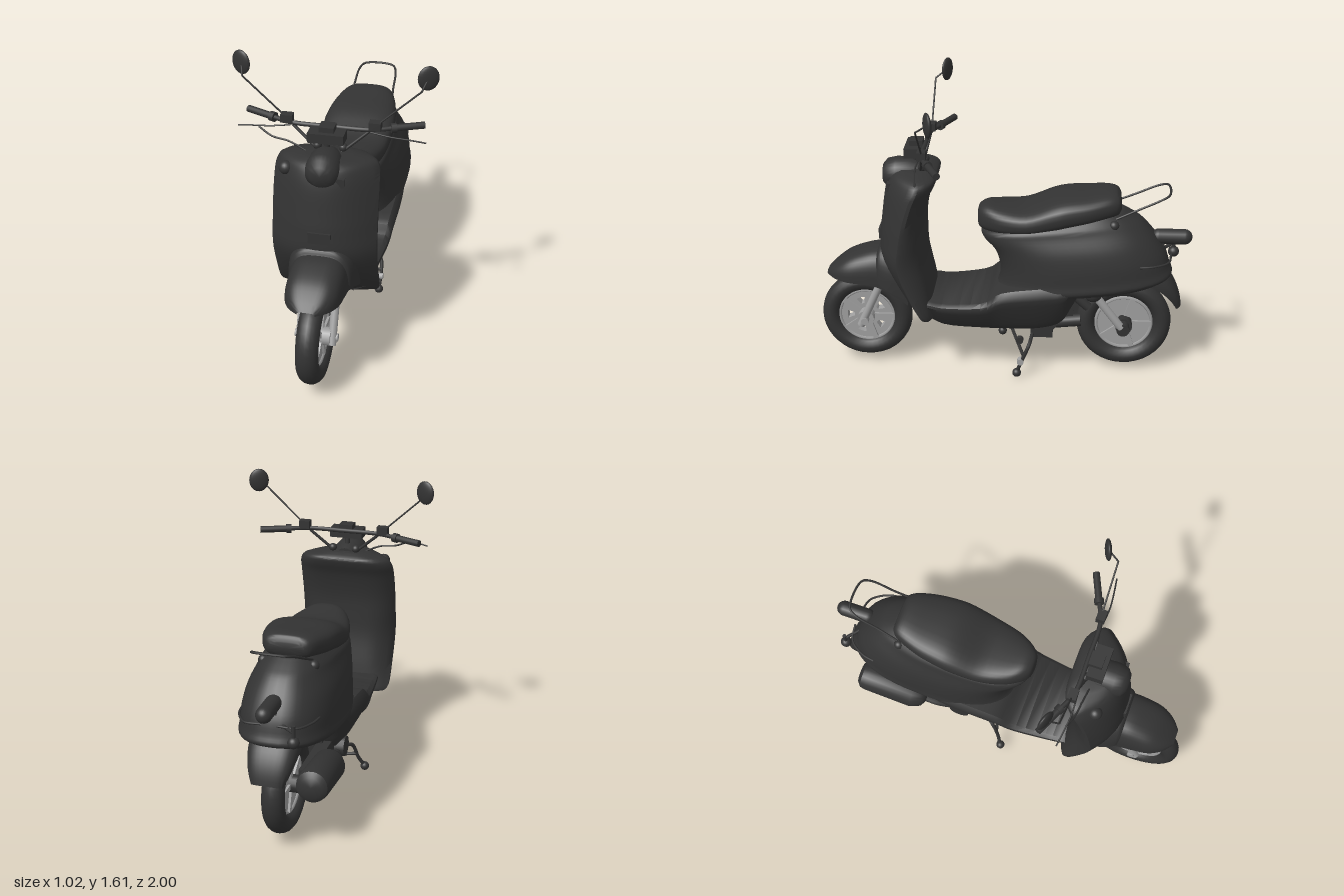
import * as THREE from 'three';
import { toCreasedNormals } from 'three/addons/utils/BufferGeometryUtils.js';

const V = (x, y, z) => new THREE.Vector3(x, y, z);
const spow = (v, e) => Math.sign(v) * Math.pow(Math.abs(v), e);

// Resample a table of section values with a smooth spline down each column
function smooth(rows, count) {
  const curves = rows[0].map((_, k) => new THREE.SplineCurve(rows.map((r, i) => new THREE.Vector2(i, r[k]))));
  return Array.from({ length: count + 1 }, (_, i) => curves.map(c => c.getPoint(i / count).y));
}

// Skin a list of rings; closed solids get end caps and outward faces
function loft(rings, closed = true, crease = 0.7) {
  const n = rings[0].length, pts = rings.flat(), idx = [];
  for (let i = 0; i < rings.length - 1; i++)
    for (let j = 0; j < (closed ? n : n - 1); j++) {
      const a = i * n + j, b = i * n + (j + 1) % n;
      idx.push(a, b, b + n, a, b + n, a + n);
    }
  if (closed) for (const r of [0, rings.length - 1]) {
    const c = pts.length;
    pts.push(rings[r].reduce((s, p) => s.add(p), V(0, 0, 0)).divideScalar(n));
    for (let j = 0; j < n; j++) {
      const a = r * n + j, b = r * n + (j + 1) % n;
      if (r) idx.push(c, a, b);
      else idx.push(c, b, a);
    }
  }
  let volume = 0;
  for (let i = 0; i < idx.length; i += 3) volume += pts[idx[i]].dot(pts[idx[i + 1]].clone().cross(pts[idx[i + 2]]));
  if (closed && volume < 0) idx.reverse();
  const g = new THREE.BufferGeometry().setFromPoints(pts);
  g.setIndex(idx);
  return toCreasedNormals(g, crease);
}

// Rounded ring of directions, squarer as n grows
const oval = (count, n, fn) => Array.from({ length: count }, (_, i) => {
  const a = i / count * Math.PI * 2;
  return fn(spow(Math.cos(a), 2 / n), spow(Math.sin(a), 2 / n));
});

export function createModel() {
  const model = new THREE.Group();
  const mat = (name, color, side = THREE.FrontSide) => Object.assign(new THREE.MeshStandardMaterial({ color, side }), { name });
  const dark = mat('charcoal', 0x333333, THREE.DoubleSide), grey = mat('lightGrey', 0xa0a0a0);
  const add = (name, geo, m = dark, x = 0, y = 0, z = 0) => {
    const mesh = new THREE.Mesh(geo, m);
    mesh.name = name;
    mesh.position.set(x, y, z);
    model.add(mesh);
    return mesh;
  };
  const tube = (name, pts, r) =>
    add(name, new THREE.TubeGeometry(new THREE.CatmullRomCurve3(pts.map(p => V(...p)), false, 'centripetal'), pts.length * 6, r, 8));
  const rod = (name, a, b, r, m = dark) => {
    const p = V(...a), q = V(...b), d = q.clone().sub(p);
    const mesh = add(name, new THREE.CylinderGeometry(r, r, d.length(), 14), m);
    mesh.position.copy(p.add(q).multiplyScalar(0.5));
    mesh.quaternion.setFromUnitVectors(V(0, 1, 0), d.normalize());
  };
  const ball = (name, r, x, y, z) => add(name, new THREE.SphereGeometry(r, 20, 14), dark, x, y, z);
  const box = (name, w, h, d, x, y, z) => add(name, new THREE.BoxGeometry(w, h, d), dark, x, y, z);
  const lathe = (pts, sides) =>
    toCreasedNormals(new THREE.LatheGeometry(pts.map(p => new THREE.Vector2(...p)), sides).rotateX(Math.PI / 2), 0.7);

  // Wheels: round tyre, pierced disc, rim band, spokes and hub
  function wheel(name, z, R, open) {
    const y = 0.283;
    add(name + 'Tyre', new THREE.TorusGeometry(R - 0.051, 0.051, 16, 40).scale(1, 1, 1.15).rotateY(Math.PI / 2), dark, -0.004, y, z);
    const disc = new THREE.Shape();
    disc.absarc(0, 0, 0.158, 0, Math.PI * 2);
    if (open) for (let i = 0; i < 5; i++) {
      const a = i * Math.PI * 0.4, h = new THREE.Path();
      h.absarc(0, 0, 0.108, a + 0.4, a + 0.86, false);
      h.absarc(0, 0, 0.07, a + 0.76, a + 0.5, true);
      h.closePath();
      disc.holes.push(h);
    }
    add(name + 'Disc', new THREE.ExtrudeGeometry(disc, { depth: 0.05, bevelEnabled: false, curveSegments: 32 })
      .translate(0, 0, -0.025).rotateY(Math.PI / 2), grey, -0.004, y, z);
    add(name + 'Rim', new THREE.TorusGeometry(0.15, 0.012, 8, 40).scale(1, 1, 3).rotateY(Math.PI / 2), grey, -0.004, y, z);
    for (let i = 0; i < 5; i++) {
      const spoke = add(name + 'Spoke', new THREE.BoxGeometry(0.075, 0.12, 0.028).translate(0, 0.09, 0), grey, -0.004, y, z);
      spoke.rotation.x = i * Math.PI * 0.4 - Math.PI / 2;
    }
    rod(name + 'Hub', [-0.075, y, z], [0.075, y, z], 0.046, open ? grey : dark);
    rod(name + 'Axle', [-0.11, y, z], [0.11, y, z], 0.02, open ? grey : dark);
  }
  wheel('frontWheel', 0.755, 0.249, true);
  wheel('rearWheel', -0.655, 0.257, false);
  for (const s of [-1, 1]) rod('forkLeg', [s * 0.083, 0.25, 0.78], [s * 0.083, 0.56, 0.64], 0.021, grey);

  // Leg shield: y, half width, side edge z, centre front z, back z; the back face bevels in from the side edges
  const shield = smooth([
    [0.36, 0.235, 0.41, 0.44, 0.36], [0.39, 0.26, 0.43, 0.48, 0.365], [0.51, 0.264, 0.49, 0.57, 0.385],
    [0.67, 0.266, 0.545, 0.655, 0.415], [0.8, 0.266, 0.535, 0.658, 0.42], [0.91, 0.266, 0.515, 0.645, 0.415],
    [1.03, 0.265, 0.48, 0.628, 0.385], [1.1, 0.258, 0.45, 0.61, 0.352], [1.14, 0.225, 0.44, 0.59, 0.345],
    [1.165, 0.12, 0.45, 0.565, 0.39]], 36).map(([y, w, zs, zc, zb]) => {
    const ring = [];
    for (let i = -10; i <= 10; i++) {
      const u = i / 10;
      ring.push(V(u * w - 0.006, y, zs + (zc - zs) * (1 - Math.pow(Math.abs(u), 2.2))));
    }
    for (let i = 10; i >= -10; i--) {
      const u = i / 10;
      ring.push(V(u * w - 0.006, y, zb + (zs - 0.02 - zb) * Math.pow(Math.abs(u), 5)));
    }
    return ring;
  });
  add('legShield', loft(shield));
  box('frontBadgePlate', 0.115, 0.06, 0.03, -0.005, 0.79, 0.65);

  // Arched shells: z, half width, lower y, upper y
  const arch = rows => loft(smooth(rows, 24).map(([z, w, b, t]) => Array.from({ length: 21 }, (_, i) => {
    const a = i / 20 * Math.PI;
    return V(w * spow(Math.cos(a), 0.6) - 0.004, b + (t - b) * Math.pow(Math.abs(Math.sin(a)), 0.7), z);
  })), false, 1);
  add('frontFender', arch([[0.957, 0.045, 0.54, 0.555], [0.91, 0.098, 0.535, 0.6], [0.84, 0.134, 0.53, 0.65],
    [0.75, 0.145, 0.525, 0.685], [0.68, 0.148, 0.515, 0.7], [0.6, 0.148, 0.475, 0.7], [0.51, 0.14, 0.405, 0.65]]));
  add('noseCowl', arch([[0.675, 0.14, 0.56, 0.7], [0.655, 0.158, 0.53, 0.728], [0.6, 0.175, 0.5, 0.735], [0.52, 0.178, 0.46, 0.72]]));

  // Floor tub: z, half width, bottom y, top y; widest at the lip, tapering to the belly
  const tubEdge = [[0.45, 0], [0.63, 0.05], [0.76, 0.22], [0.94, 0.66], [1, 0.8], [0.99, 0.9], [0.9, 1]];
  const tub = smooth([
    [0.47, 0.19, 0.38, 0.42], [0.4, 0.21, 0.335, 0.46], [0.3, 0.218, 0.29, 0.452], [0.1, 0.24, 0.285, 0.475],
    [0, 0.25, 0.285, 0.54], [-0.18, 0.253, 0.29, 0.57], [-0.31, 0.249, 0.33, 0.58], [-0.37, 0.245, 0.43, 0.585],
    [-0.42, 0.24, 0.53, 0.585]], 30).map(([z, w, b, t]) => {
    const half = tubEdge.map(([u, v]) => V(u * w, b + v * (t - b), z));
    return [...half, ...half.map(p => V(-p.x, p.y, z)).reverse()];
  });
  add('floorTub', loft(tub));

  // Rear body: y, front z, rear z, half width; each level climbs toward the tail
  const rearBody = smooth([
    [0.49, 0.03, -0.86, 0.235], [0.515, 0.035, -0.9, 0.25], [0.56, 0.02, -0.885, 0.245], [0.64, 0.02, -0.86, 0.24],
    [0.73, 0.05, -0.805, 0.225], [0.81, 0.115, -0.74, 0.195], [0.85, 0.09, -0.69, 0.18], [0.89, -0.1, -0.63, 0.14]], 28)
    .map(([y, f, r, w]) => oval(48, 2.5, (c, s) => {
      const z = (f + r) / 2 + (f - r) / 2 * c;
      return V(w * s, y - 0.1 * z, z);
    }));
  add('rearBody', loft(rearBody));

  // Seat: z, half width, bottom y, top y
  const seat = smooth([
    [0.137, 0.025, 0.86, 0.925], [0.125, 0.065, 0.838, 0.955], [0.08, 0.108, 0.825, 0.972], [0, 0.15, 0.82, 0.966],
    [-0.125, 0.18, 0.83, 0.966], [-0.26, 0.192, 0.855, 1.02], [-0.34, 0.19, 0.875, 1.04], [-0.45, 0.175, 0.9, 1.05],
    [-0.55, 0.145, 0.925, 1.06], [-0.6, 0.118, 0.94, 1.05], [-0.617, 0.09, 0.965, 1.02]], 40)
    .map(([z, w, b, t]) => oval(32, 2.8, (c, s) => V(w * c, (b + t) / 2 + (t - b) / 2 * s, z)));
  add('seat', loft(seat));

  // Rear mudguard follows the wheel
  const mudguard = Array.from({ length: 11 }, (_, i) => {
    const t = i / 10, th = 0.4 + t * 0.76, w = 0.13 - 0.05 * t * t;
    return Array.from({ length: 17 }, (_, j) => {
      const a = j / 16 * Math.PI, r = 0.3 + (0.1 - 0.07 * t) * Math.pow(Math.abs(Math.sin(a)), 0.7);
      return V(w * spow(Math.cos(a), 0.7), 0.285 + r * Math.cos(th), -0.655 - r * Math.sin(th));
    });
  });
  add('rearMudguard', loft(mudguard, false, 1));

  // Headlight and front signals
  add('headlight', lathe([[0, -0.1], [0.06, -0.1], [0.088, -0.03], [0.088, 0.05], [0.078, 0.095], [0.05, 0.118], [0, 0.124]], 28),
    dark, -0.005, 1.12, 0.515);
  ball('frontSignal', 0.035, -0.2, 1.095, 0.525);
  box('frontLatch', 0.04, 0.045, 0.04, 0.09, 1.078, 0.585);

  // Tail: lamp, grab rail, bumper bar, signals
  add('tailLight', new THREE.CapsuleGeometry(0.041, 0.135, 8, 18).rotateX(Math.PI / 2), dark, 0, 0.795, -0.89);
  box('tailLightMount', 0.05, 0.05, 0.1, 0, 0.77, -0.8);
  tube('grabRail', [[-0.125, 0.94, -0.59], [-0.115, 0.985, -0.69], [-0.105, 1.045, -0.82], [-0.08, 1.06, -0.86],
    [0.08, 1.06, -0.86], [0.105, 1.045, -0.82], [0.115, 0.985, -0.69], [0.125, 0.94, -0.59]], 0.006);
  for (const s of [-1, 1]) {
    tube('bumperBar', [[s * 0.2, 0.7, -0.72], [s * 0.185, 0.7, -0.79], [s * 0.13, 0.7, -0.87], [s * 0.04, 0.71, -0.89]], 0.006);
    ball('rearSideSignal', 0.027, s * 0.13, 0.905, -0.58);
  }
  rod('tailSignalStalk', [-0.13, 0.65, -0.915], [-0.13, 0.735, -0.915], 0.01);
  rod('tailSignalArm', [-0.13, 0.7, -0.915], [-0.05, 0.7, -0.85], 0.009);
  ball('tailSignal', 0.03, -0.13, 0.648, -0.915);

  // Handlebar, gauge, levers, mirrors
  tube('handlebar', [[-0.3, 1.282, 0.365], [-0.2, 1.282, 0.405], [0, 1.282, 0.41], [0.2, 1.282, 0.405], [0.3, 1.282, 0.365]], 0.012);
  box('gauge', 0.18, 0.05, 0.085, -0.005, 1.26, 0.47);
  box('gaugeTop', 0.075, 0.04, 0.07, -0.005, 1.292, 0.455);
  rod('steeringStem', [-0.005, 1.1, 0.46], [-0.005, 1.25, 0.47], 0.014);
  for (const s of [-1, 1]) {
    rod('barBrace', [s * 0.06, 1.16, 0.43], [s * 0.19, 1.272, 0.405], 0.008);
    ball('braceClamp', 0.022, s * 0.065, 1.18, 0.42);
    rod('grip', [s * 0.445, 1.282, 0.3], [s * 0.29, 1.282, 0.368], 0.018);
    rod('gripCollar', [s * 0.315, 1.282, 0.357], [s * 0.29, 1.282, 0.368], 0.025);
    box('mirrorClamp', 0.06, 0.042, 0.045, s * 0.22, 1.305, 0.402);
    tube('lever', [[s * 0.2, 1.275, 0.42], [s * 0.3, 1.262, 0.425], [s * 0.4, 1.25, 0.415], [s * 0.47, 1.238, 0.405]], 0.004);
    rod('mirrorStem', [s * 0.23, 1.31, 0.4], [s * 0.44, 1.505, 0.4], 0.0045);
    rod('mirrorArm', [s * 0.44, 1.505, 0.4], [s * 0.46, 1.545, 0.345], 0.0045);
    const mirror = ball('mirror', 0.063, s * 0.462, 1.55, 0.338);
    mirror.scale.set(0.85, 1, 0.27);
    mirror.rotation.y = s * 0.4;
  }
  tube('cable', [[-0.36, 1.25, 0.42], [-0.29, 1.215, 0.44], [-0.2, 1.2, 0.45], [-0.1, 1.155, 0.46]], 0.005);

  // Drive unit, swing arm, exhaust
  box('engineBlock', 0.11, 0.11, 0.12, 0, 0.247, -0.21);
  rod('crankcase', [-0.2, 0.31, -0.24], [0.1, 0.31, -0.24], 0.055);
  box('engineMount', 0.16, 0.14, 0.16, -0.03, 0.38, -0.3);
  rod('swingArm', [0.04, 0.275, -0.2], [0.04, 0.3, -0.42], 0.034);
  rod('frameStrut', [0.06, 0.5, -0.34], [0.06, 0.39, -0.46], 0.025);
  box('transmission', 0.07, 0.12, 0.46, -0.115, 0.32, -0.46);
  add('muffler', lathe([[0, -0.2], [0.055, -0.2], [0.08, -0.18], [0.085, -0.15], [0.085, 0.12], [0.06, 0.18], [0.025, 0.2], [0, 0.2]], 24),
    dark, -0.187, 0.35, -0.635).rotation.x = 0.1;
  tube('exhaustPipe', [[-0.187, 0.33, -0.45], [-0.18, 0.31, -0.36], [-0.14, 0.28, -0.26], [-0.05, 0.275, -0.2]], 0.026);

  // Rear shock
  rod('shockRod', [0.11, 0.5, -0.485], [0.11, 0.295, -0.64], 0.022, grey);
  ball('shockMount', 0.05, 0.115, 0.505, -0.483);
  rod('shockFoot', [0.06, 0.285, -0.65], [0.125, 0.285, -0.65], 0.035);

  // Stand
  tube('standRightLeg', [[-0.235, 0.07, 0.02], [-0.205, 0.13, -0.005], [-0.18, 0.22, -0.045], [-0.13, 0.235, -0.12]], 0.01);
  tube('standLeftLeg', [[0.16, 0.03, -0.08], [0.166, 0.11, -0.11], [0.155, 0.195, -0.145], [0.08, 0.225, -0.16]], 0.01);
  rod('standCrossbar', [-0.2, 0.155, -0.015], [0.163, 0.135, -0.115], 0.009);
  ball('standRightFoot', 0.024, -0.236, 0.066, 0.022);
  ball('standLeftFoot', 0.024, 0.16, 0.026, -0.08);
  rod('standPedal', [0.145, 0.1, -0.1], [0.18, 0.1, -0.1], 0.018, grey);
  rod('standPeg', [0.03, 0.165, -0.09], [0.06, 0.165, -0.09], 0.02);
  return model;
}
